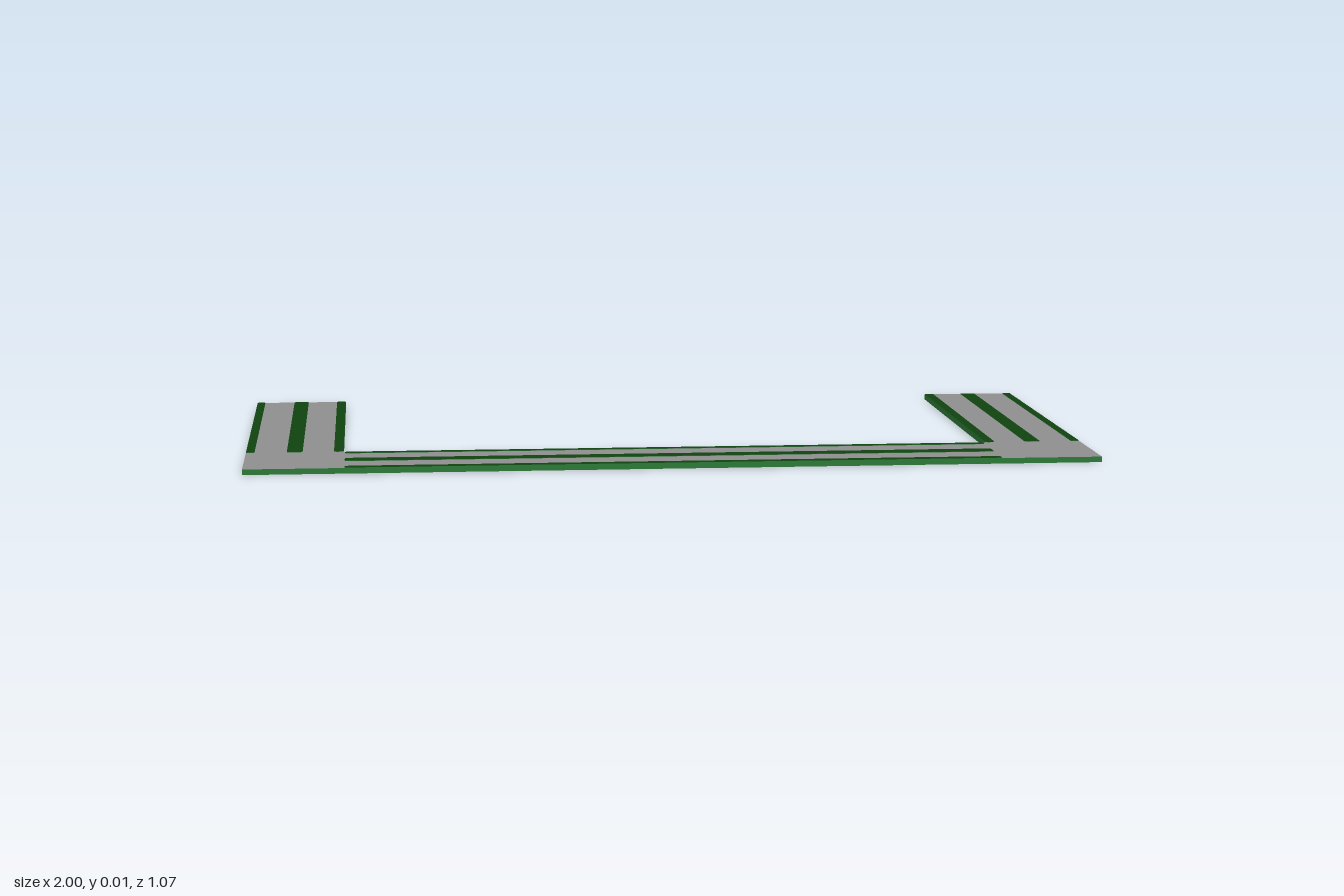
import * as THREE from 'three';

const X = 1, Z = 0.533, INNER_X = 0.77, INNER_Z = 0.302;

export function createModel() {
  const mat = (name, color) => new THREE.MeshStandardMaterial({ name, color });
  const darkGreen = mat('darkGreen', 0x104310);
  const edgeGreen = mat('edgeGreen', 0x2c7837);
  const grey = mat('pavingGrey', 0x8e8e8e);
  const model = new THREE.Group();

  // Flat slab from a shape drawn in (x, z), with its own cap and side colours
  const slab = (name, shape, y, depth, cap, side) => {
    const geo = new THREE.ExtrudeGeometry(shape, { depth, bevelEnabled: false, curveSegments: 4 });
    geo.rotateX(-Math.PI / 2);
    const mesh = new THREE.Mesh(geo, [cap, side]);
    mesh.name = name;
    mesh.position.y = y;
    model.add(mesh);
  };

  // U-shaped outline, open to the back (shape y is -z)
  const outline = new THREE.Shape([
    [-X, -Z], [X, -Z], [X, Z], [INNER_X, Z],
    [INNER_X, -INNER_Z], [-INNER_X, -INNER_Z], [-INNER_X, Z], [-X, Z],
  ].map(([x, y]) => new THREE.Vector2(x, y)));

  slab('base', outline, 0, 0.012, darkGreen, edgeGreen);
  slab('paving', outline, 0.012, 0.001, grey, edgeGreen);

  // Strip with slightly clipped, rounded corners
  const strip = (name, x0, x1, z0, z1) => {
    const r = 0.008, s = new THREE.Shape();
    const b = -z1, t = -z0;
    s.moveTo(x0 + r, b);
    s.lineTo(x1 - r, b);
    s.quadraticCurveTo(x1, b, x1, b + r);
    s.lineTo(x1, t - r);
    s.quadraticCurveTo(x1, t, x1 - r, t);
    s.lineTo(x0 + r, t);
    s.quadraticCurveTo(x0, t, x0, t - r);
    s.lineTo(x0, b + r);
    s.quadraticCurveTo(x0, b, x0 + r, b);
    slab(name, s, 0.013, 0.001, darkGreen, edgeGreen);
  };

  // Three strips along the front run
  for (const [name, z0, z1] of [
    ['frontInnerStrip', INNER_Z, 0.323], ['frontCentreStrip', 0.394, 0.436], ['frontOuterStrip', 0.508, Z],
  ]) strip(name, -0.767, 0.763, z0, z1);

  // Three strips along each arm
  for (const [label, sign] of [['left', 1], ['right', -1]]) {
    for (const [name, a, b] of [
      ['InnerStrip', INNER_X, 0.793], ['CentreStrip', 0.867, 0.904], ['OuterStrip', 0.98, X],
    ]) strip(label + name, Math.min(sign * a, sign * b), Math.max(sign * a, sign * b), -Z, 0.296);
  }
  return model;
}
